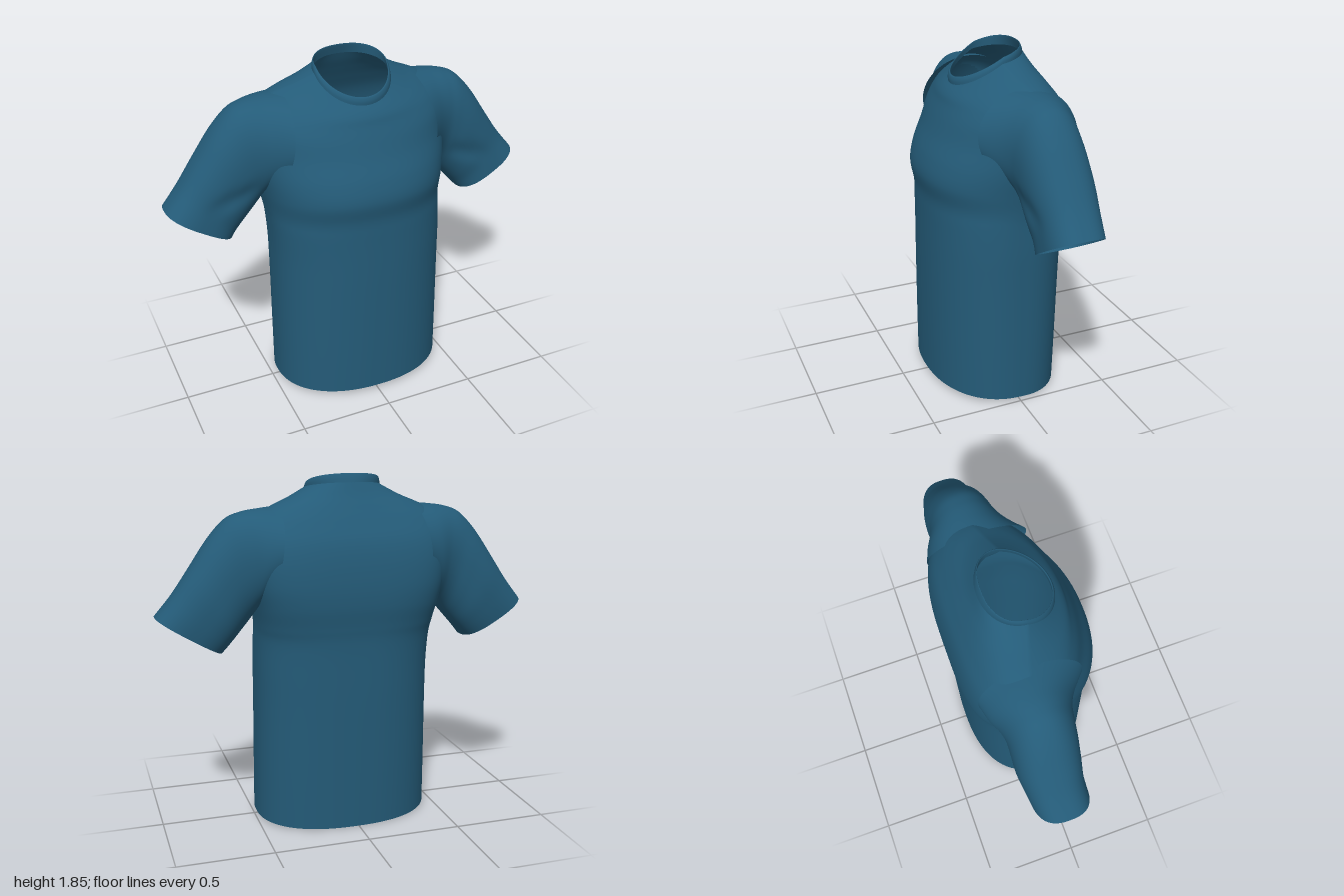
import * as THREE from 'three';

const fabric = new THREE.MeshStandardMaterial({ color: 0x245b78, side: THREE.DoubleSide });

// Smoothly interpolate rows of section parameters (Catmull-Rom per column)
function sampleRows(rows, v) {
  const f = v * (rows.length - 1);
  const i = Math.min(Math.floor(f), rows.length - 2);
  const t = f - i;
  const at = (k) => rows[Math.max(0, Math.min(rows.length - 1, k))];
  return rows[i].map((_, c) => {
    const p0 = at(i - 1)[c], p1 = at(i)[c], p2 = at(i + 1)[c], p3 = at(i + 2)[c];
    return p1 + 0.5 * t * (p2 - p0 + t * (2 * p0 - 5 * p1 + 4 * p2 - p3 + t * (3 * (p1 - p2) + p3 - p0)));
  });
}

// Skin closed rings; point(section, angle) returns [x, y, z], isHole(x, y, z) leaves quads out
function loft(name, rows, point, steps, around, isHole = () => false) {
  const pos = [], index = [];
  for (let i = 0; i <= steps; i++) {
    const section = sampleRows(rows, i / steps);
    for (let j = 0; j < around; j++) {
      const p = point(section, (j / around) * Math.PI * 2);
      pos.push(...p);
      if (i === steps || isHole(...p)) continue;
      const a = i * around + j, b = i * around + ((j + 1) % around);
      index.push(a, a + around, b, b, a + around, b + around);
    }
  }
  const geo = new THREE.BufferGeometry();
  geo.setAttribute('position', new THREE.Float32BufferAttribute(pos, 3));
  geo.setIndex(index);
  geo.computeVertexNormals();
  const mesh = new THREE.Mesh(geo, fabric);
  mesh.name = name;
  return mesh;
}

const power = (v, e) => Math.sign(v) * Math.pow(Math.abs(v), e);

// Horizontal ring whose front, side and back have their own depth, height and roundness
function bodyPoint([w, zf, zs, zb, yf, ys, yb, ef, eb], a) {
  const c = Math.cos(a), s = Math.sin(a);
  const e = s > 0 ? ef : eb;
  const depth = Math.pow(Math.abs(s), e);
  const y = ys + ((s > 0 ? yf : yb) - ys) * depth;
  const shift = 0.012 * (1 - THREE.MathUtils.smoothstep(y, 0.8, 1.2));
  return [w * power(c, e) + shift, y, zs + ((s > 0 ? zf : zb) - zs) * depth];
}

// Armhole, hidden under the flared start of each sleeve
const isArmhole = (x, y, z) =>
  Math.abs(x) > 0.46 && ((y - 1.43) / 0.17) ** 2 + ((z + 0.08) / 0.14) ** 2 < 1;

// half width, front z, side z, back z, front y, side y, back y, front and back roundness
const bodyRows = [
  [0.478, 0.365, 0, -0.33, 0.03, 0.02, 0, 0.9, 0.85],
  [0.475, 0.365, 0, -0.335, 0.3, 0.3, 0.28, 0.9, 0.82],
  [0.47, 0.362, 0, -0.342, 0.7, 0.7, 0.7, 0.9, 0.78],
  [0.47, 0.357, 0, -0.345, 0.98, 0.98, 0.98, 0.9, 0.72],
  [0.475, 0.357, -0.02, -0.355, 1.09, 1.08, 1.09, 0.9, 0.66],
  [0.49, 0.373, -0.04, -0.37, 1.2, 1.18, 1.2, 0.88, 0.6],
  [0.51, 0.352, -0.06, -0.372, 1.3, 1.3, 1.31, 0.9, 0.57],
  [0.525, 0.305, -0.08, -0.36, 1.41, 1.44, 1.43, 0.95, 0.6],
  [0.52, 0.27, -0.08, -0.335, 1.5, 1.56, 1.53, 0.97, 0.66],
  [0.48, 0.245, -0.08, -0.29, 1.56, 1.64, 1.62, 1, 0.75],
  [0.4, 0.23, -0.07, -0.25, 1.6, 1.69, 1.69, 1, 0.85],
  [0.3, 0.21, -0.04, -0.215, 1.63, 1.73, 1.75, 1, 0.92],
  [0.2, 0.185, -0.01, -0.185, 1.655, 1.778, 1.81, 1, 0.95],
];

// Neck band: up the outside, over the edge and down the inside
const collarRows = [
  [0.2, 0.187, -0.01, -0.186, 1.652, 1.777, 1.808, 1, 0.95],
  [0.197, 0.187, -0.015, -0.178, 1.672, 1.795, 1.83, 1, 0.9],
  [0.19, 0.181, -0.02, -0.168, 1.69, 1.808, 1.85, 1, 0.86],
  [0.186, 0.174, -0.02, -0.164, 1.69, 1.806, 1.848, 1, 0.86],
  [0.19, 0.176, -0.01, -0.178, 1.655, 1.77, 1.8, 1, 0.92],
];

// top x, top y, bottom x, bottom y, front z, back z, roundness; starts flared into the shoulder
const sleeveRows = [
  [0.36, 1.69, 0.42, 1.26, 0.2, -0.325, 1],
  [0.46, 1.682, 0.47, 1.2, 0.135, -0.3, 0.98],
  [0.55, 1.668, 0.5, 1.155, 0.1, -0.268, 0.95],
  [0.63, 1.635, 0.53, 1.115, 0.088, -0.252, 0.92],
  [0.72, 1.54, 0.565, 1.075, 0.083, -0.25, 0.88],
  [0.82, 1.395, 0.605, 1.03, 0.075, -0.248, 0.84],
  [0.91, 1.265, 0.64, 0.99, 0.066, -0.235, 0.8],
  [1.0, 1.155, 0.67, 0.955, 0.07, -0.22, 0.76],
];

function sleevePoint(side) {
  return ([tx, ty, bx, by, zf, zb, e], a) => {
    const u = power(Math.cos(a), e), s = -side * power(Math.sin(a), e);
    const x = (tx + bx) / 2 + (u * (tx - bx)) / 2;
    const y = (ty + by) / 2 + (u * (ty - by)) / 2;
    // soft crease running out from the front of the armpit
    const reach = THREE.MathUtils.smoothstep(x, 0.5, 0.62) * (1 - THREE.MathUtils.smoothstep(x, 0.68, 0.85));
    const crease = -0.014 * Math.max(s, 0) * reach * Math.exp(-(((y - 1.25 + 0.3 * (x - 0.55)) / 0.05) ** 2));
    return [side * x, y, (zf + zb) / 2 + (s * (zf - zb)) / 2 + crease];
  };
}

export function createModel() {
  const shirt = new THREE.Group();
  shirt.name = 'shirt';
  shirt.add(loft('body', bodyRows, bodyPoint, 96, 160, isArmhole));
  shirt.add(loft('collar', collarRows, bodyPoint, 16, 96));
  for (const side of [1, -1]) {
    shirt.add(loft(side > 0 ? 'leftSleeve' : 'rightSleeve', sleeveRows, sleevePoint(side), 56, 96));
  }
  return shirt;
}
